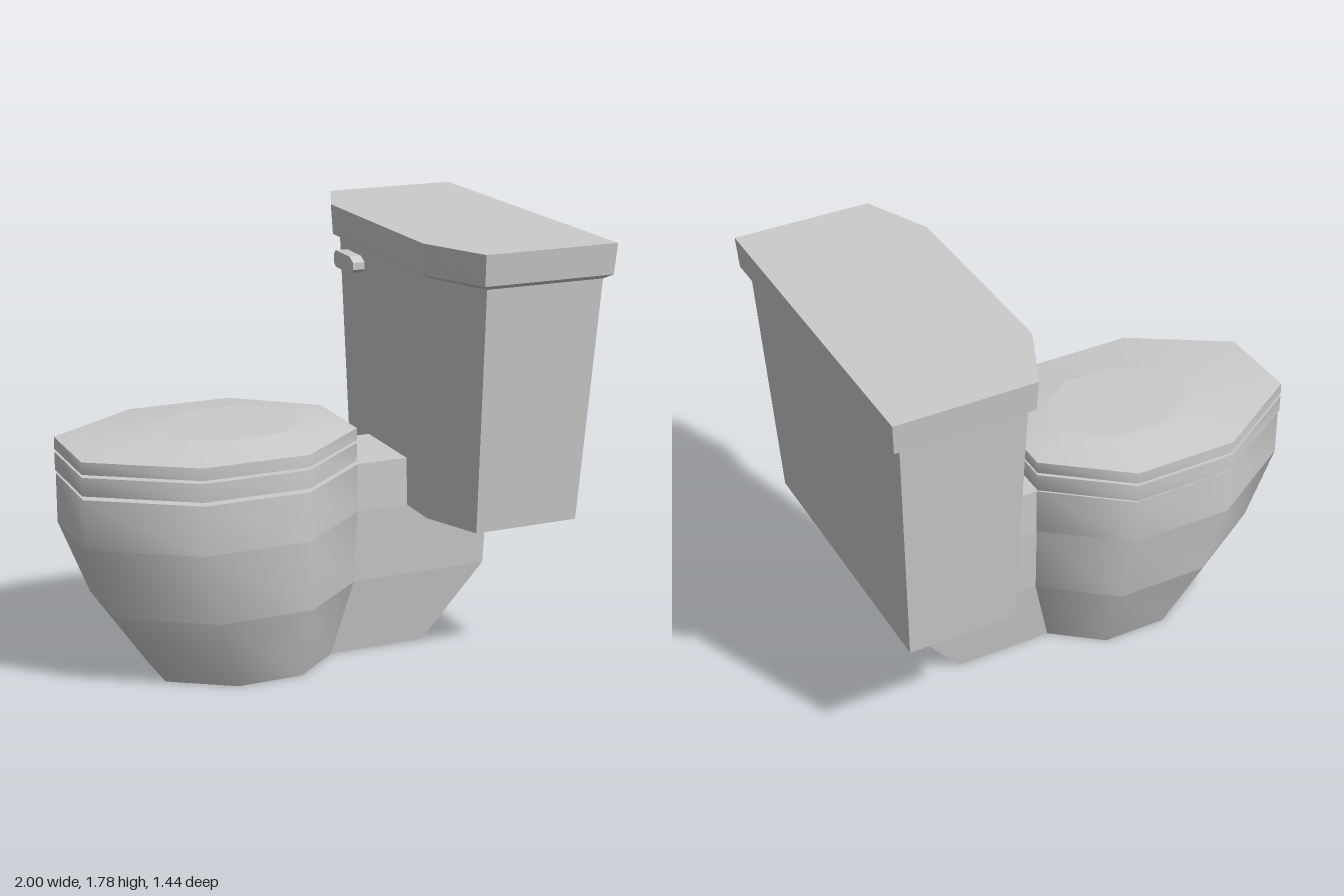
import * as THREE from 'three';

const material = new THREE.MeshStandardMaterial({ color: 0xcccccc });

// Closed loft through rings (bottom to top, each counter-clockwise seen from above).
// Every band keeps its own vertices, so the horizontal creases stay sharp.
function loft(name, rings, smooth) {
  const pos = [], index = [];
  const n = rings[0].length;
  const add = ring => {
    const start = pos.length / 3;
    ring.forEach(p => pos.push(...p));
    return start;
  };
  for (let r = 0; r < rings.length - 1; r++) {
    const lo = add(rings[r]), hi = add(rings[r + 1]);
    for (let i = 0; i < n; i++) {
      const j = (i + 1) % n;
      index.push(lo + i, lo + j, hi + i, lo + j, hi + j, hi + i);
    }
  }
  const bottom = add(rings[0]), top = add(rings[rings.length - 1]);
  for (let i = 1; i < n - 1; i++) {
    index.push(bottom, bottom + i + 1, bottom + i);
    index.push(top, top + i, top + i + 1);
  }
  let geometry = new THREE.BufferGeometry();
  geometry.setAttribute('position', new THREE.Float32BufferAttribute(pos, 3));
  geometry.setIndex(index);
  if (!smooth) geometry = geometry.toNonIndexed();
  geometry.computeVertexNormals();
  const mesh = new THREE.Mesh(geometry, material);
  mesh.name = name;
  return mesh;
}

// Eight-sided bowl outline between two x positions, scaled evenly
function bowlRing(y, x0, x1, z = 0) {
  const k = (x1 - x0) / 1.155;
  const half = [[1.155, 0.182], [0.84, 0.436], [0.4, 0.436], [0, 0.182]];
  const back = half.map(([x, w]) => [x0 + x * k, y, z - w * k]);
  const front = half.map(([x, w]) => [x0 + x * k, y, z + w * k]).reverse();
  return [...back, ...front];
}

// Cistern outline with the two corners on the bowl side cut off
function tankRing(y, x0, x1, w) {
  const cut = x0 + 0.18 * (x1 - x0);
  return [
    [x1, y, w], [x1, y, -w], [cut, y, -w],
    [x0, y, -w * 0.605], [x0, y, w * 0.605], [cut, y, w],
  ];
}

function neckRing(y, x0, x1, w) {
  return [[x1, y, w], [x1, y, -w], [x0, y, -w], [x0, y, w]];
}

export function createModel() {
  const model = new THREE.Group();
  model.name = 'toilet';

  // Pedestal bowl
  model.add(loft('bowl', [
    bowlRing(0, -0.66, 0.07),
    bowlRing(0.325, -0.88, 0.15),
    bowlRing(0.635, -1, 0.155),
    bowlRing(0.838, -1, 0.155),
  ], true));

  // Seat and slightly domed lid
  const shift = -0.01;
  model.add(loft('seat', [
    bowlRing(0.85, -1, 0.155, shift),
    bowlRing(0.925, -1, 0.155, shift),
  ], true));
  model.add(loft('seatLid', [
    bowlRing(0.937, -1, 0.155, shift),
    bowlRing(0.987, -1, 0.155, shift),
    bowlRing(1.017, -0.62, -0.03, shift),
  ], true));

  // Neck joining the bowl to the cistern
  model.add(loft('neck', [
    neckRing(0, 0.07, 0.49, 0.115),
    neckRing(0.325, 0.15, 0.745, 0.162),
    neckRing(0.635, 0.155, 0.75, 0.182),
    neckRing(0.838, 0.155, 0.75, 0.182),
  ], false));

  // Tapered cistern and its overhanging cover
  model.add(loft('tank', [
    tankRing(0.635, 0.38, 0.925, 0.605),
    tankRing(1.637, 0.345, 0.96, 0.683),
  ], false));
  model.add(loft('tankLid', [
    tankRing(1.637, 0.345, 0.96, 0.683),
    tankRing(1.655, 0.312, 0.992, 0.708),
    tankRing(1.78, 0.305, 0.998, 0.72),
  ], false));

  // Flush lever on the bowl side of the cistern
  const lever = new THREE.Shape([
    [0.38, 1.55], [0.36, 1.53], [0.22, 1.53], [0.185, 1.55],
    [0.185, 1.58], [0.22, 1.6], [0.36, 1.6], [0.38, 1.58],
  ].map(([u, v]) => new THREE.Vector2(u, v)));
  const leverGeometry = new THREE.ExtrudeGeometry(lever, { depth: 0.065, bevelEnabled: false });
  leverGeometry.rotateY(Math.PI / 2);
  const handle = new THREE.Mesh(leverGeometry, material);
  handle.name = 'flushHandle';
  handle.position.x = 0.295;
  model.add(handle);

  return model;
}
